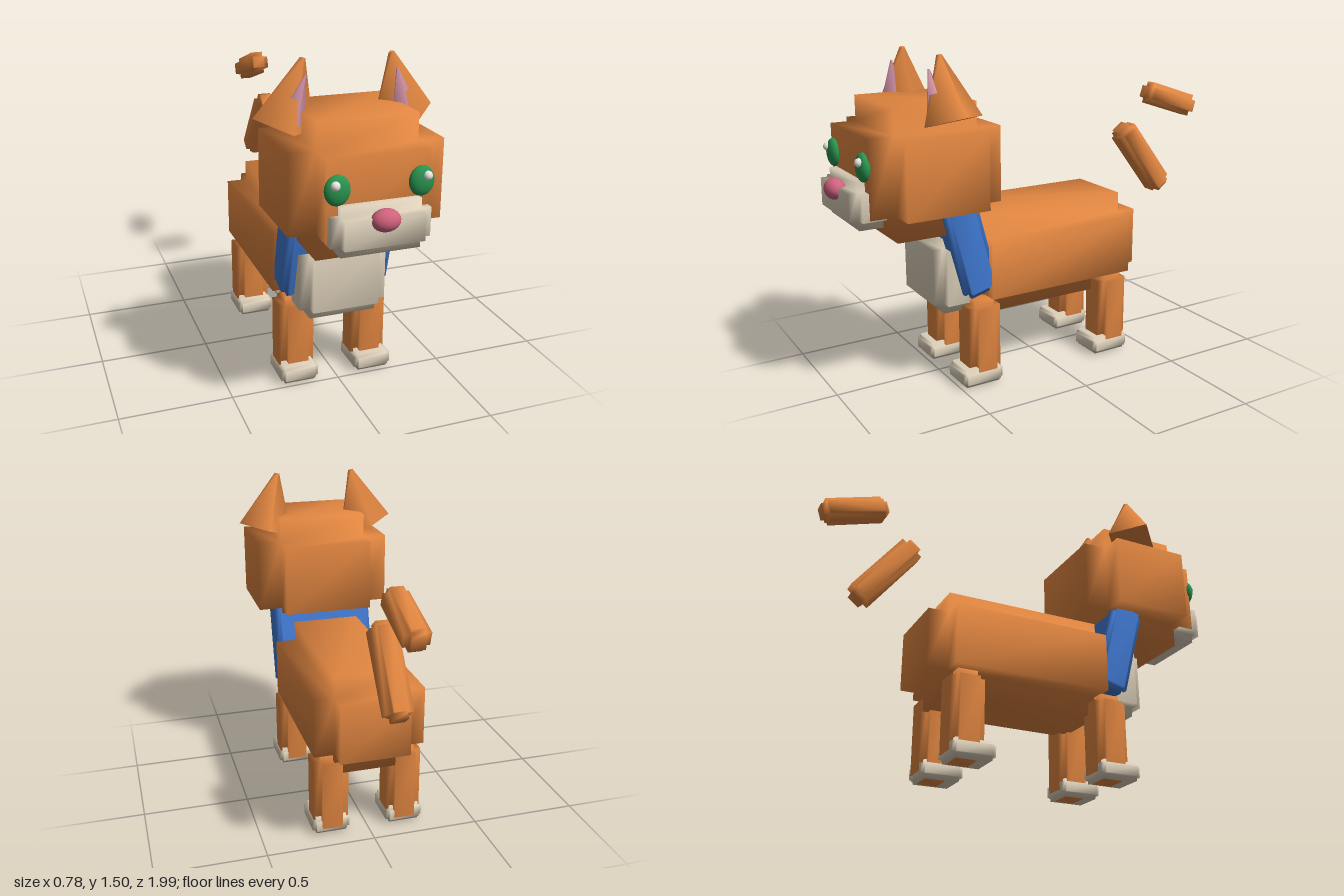
import * as THREE from 'three';
import { mergeVertices } from 'three/addons/utils/BufferGeometryUtils.js';

const material = (name, color) => {
  const m = new THREE.MeshStandardMaterial({ color });
  m.name = name;
  return m;
};

// Box whose edges are notched inwards by r, with smooth normals.
function notchedBox(w, h, d, r) {
  const g = new THREE.BoxGeometry(1, 1, 1, 3, 3, 3);
  g.deleteAttribute('uv');
  g.deleteAttribute('normal');
  const p = g.attributes.position;
  const half = [w / 2, h / 2, d / 2];
  for (let i = 0; i < p.count; i++) {
    const v = [p.getX(i), p.getY(i), p.getZ(i)];
    const outer = v.map((c) => Math.abs(c) > 0.4);
    const onFace = outer.filter(Boolean).length === 1;
    const q = v.map((c, k) => Math.sign(c) * (onFace && outer[k] ? half[k] : half[k] - r));
    p.setXYZ(i, q[0], q[1], q[2]);
  }
  const merged = mergeVertices(g, 1e-4);
  merged.computeVertexNormals();
  return merged;
}

export function createModel() {
  const model = new THREE.Group();
  model.name = 'cat';
  const fur = material('orange fur', 0xe08540);
  const cream = material('cream fur', 0xdccfb9);
  const blue = material('blue scarf', 0x4079d2);
  const green = material('green eye', 0x2a9450);
  const rose = material('rose nose', 0xd0627e);
  const pink = material('pink inner ear', 0xd493a8);
  const white = material('white glint', 0xf0eee6);

  const add = (name, geometry, mat, pos, parent = model) => {
    const mesh = new THREE.Mesh(geometry, mat);
    mesh.name = name;
    mesh.position.set(...pos);
    parent.add(mesh);
    return mesh;
  };
  const block = (name, mat, size, r, pos, tilt = 0) => {
    const mesh = add(name, notchedBox(...size, r), mat, pos);
    mesh.rotation.x = tilt;
    return mesh;
  };
  const ball = (name, mat, radii, pos) => {
    const g = new THREE.SphereGeometry(1, 24, 16).scale(...radii);
    return add(name, g, mat, pos);
  };

  // Trunk, chest and scarf
  block('body', fur, [0.52, 0.47, 0.945], 0.097, [0, 0.545, -0.032]);
  block('chest', cream, [0.4, 0.35, 0.2], 0.047, [0, 0.52, 0.483]);
  block('scarf', blue, [0.5, 0.46, 0.17], 0.027, [0, 0.655, 0.435], 0.26);

  // Head, muzzle and nose
  block('head', fur, [0.66, 0.57, 0.61], 0.115, [0, 1.015, 0.58]);
  block('muzzle', cream, [0.42, 0.205, 0.19], 0.042, [0, 0.898, 0.864]);
  ball('nose', rose, [0.06, 0.046, 0.045], [0, 0.945, 0.955]);

  for (const s of [1, -1]) {
    const side = s > 0 ? 'left' : 'right';

    // Eye with a glint
    ball(side + 'Eye', green, [0.053, 0.062, 0.028], [s * 0.175, 1.063, 0.892]);
    ball(side + 'Glint', white, [0.019, 0.019, 0.019], [s * 0.19, 1.088, 0.913]);

    // Four-sided ear leaning inwards, with the inner ear in front
    const ear = new THREE.Group();
    ear.name = side + 'Ear';
    ear.position.set(s * 0.262, 1.23, 0.52);
    ear.rotation.set(0.1, 0, s * 0.26);
    model.add(ear);
    add(side + 'OuterEar', new THREE.CylinderGeometry(0.012, 0.135, 0.28, 4), fur, [0, 0.14, 0], ear);
    add(side + 'InnerEar', new THREE.CylinderGeometry(0.004, 0.06, 0.21, 4), pink,
      [-s * 0.008, 0.125, 0.056], ear);

    // Legs and paws
    for (const [end, z] of [['Front', 0.37], ['Back', -0.335]]) {
      block(side + end + 'Leg', fur, [0.165, 0.4, 0.16], 0.034, [s * 0.174, 0.2, z]);
      block(side + end + 'Paw', cream, [0.176, 0.081, 0.2], 0.017, [s * 0.177, 0.0445, z + 0.024]);
    }
  }

  // Two-piece tail, detached behind the body
  block('lowerTail', fur, [0.12, 0.42, 0.12], 0.028, [0, 0.898, -0.664], 0.66);
  block('tailTip', fur, [0.11, 0.32, 0.11], 0.026, [0, 1.183, -0.832], 1.257);

  return model;
}
